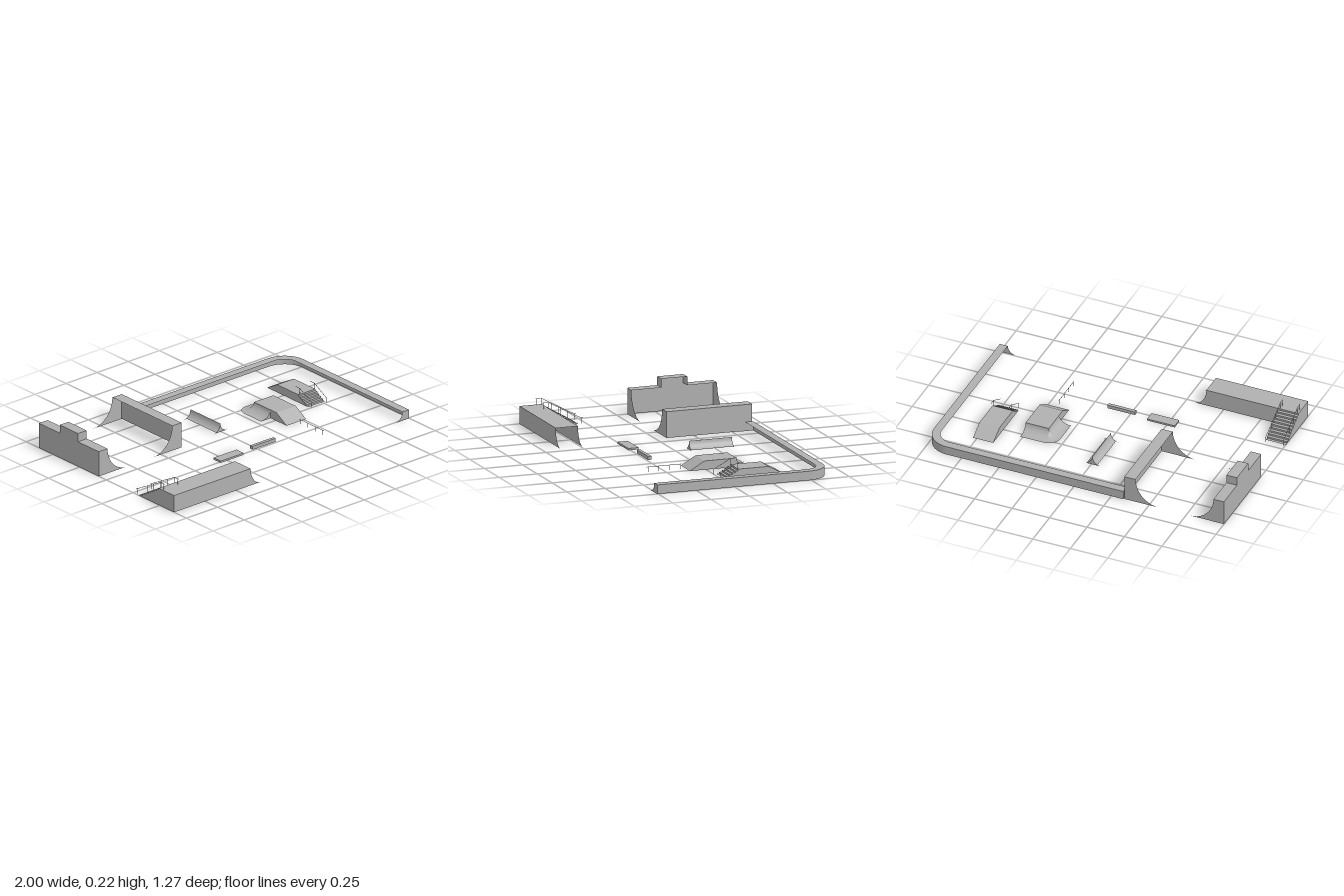
import * as THREE from 'three';

const concrete = new THREE.MeshStandardMaterial({ color: 0xb0b0b0, side: THREE.DoubleSide });
concrete.name = 'concrete grey';

const V = (x, y, z) => new THREE.Vector3(x, y, z);

// Concave transition: [distance out, height], from the lip down to the foot
function transition(w, h, n = 10, end = 1) {
  const pts = [];
  for (let i = 0; i <= n; i++) {
    const t = (i / n) * end * Math.PI / 2;
    pts.push([w * (1 - Math.cos(t)), h * (1 - Math.sin(t))]);
  }
  return pts;
}

export function createModel() {
  const park = new THREE.Group();
  park.name = 'skatepark';

  function add(name, geometry, parent = park) {
    const mesh = new THREE.Mesh(geometry, concrete);
    mesh.name = name;
    parent.add(mesh);
    return mesh;
  }
  function section(name) {
    const g = new THREE.Group();
    g.name = name;
    park.add(g);
    return g;
  }
  // Surface through a list of cross-sections
  function loft(rows, flat = false) {
    const m = rows[0].length, index = [];
    for (let i = 0; i < rows.length - 1; i++) {
      for (let j = 0; j < m - 1; j++) {
        const a = i * m + j, b = a + m;
        index.push(a, b, a + 1, b, b + 1, a + 1);
      }
    }
    let g = new THREE.BufferGeometry().setFromPoints(rows.flat());
    g.setIndex(index);
    if (flat) g = g.toNonIndexed();
    g.computeVertexNormals();
    return g;
  }
  // Flat panel in an x-y plane at z
  function panelZ(pts, z) {
    return new THREE.ShapeGeometry(new THREE.Shape(pts.map(p => new THREE.Vector2(...p)))).translate(0, 0, z);
  }
  // Flat panel in a z-y plane at x, points given as [z, y]
  function panelX(pts, x) {
    return panelZ(pts.map(([z, y]) => [-z, y]), 0).rotateY(Math.PI / 2).translate(x, 0, 0);
  }
  // Folded sheet spanning x0..x1, profile given as [z, y]
  function sheet(pts, x0, x1) {
    return loft([x0, x1].map(x => pts.map(([z, y]) => V(x, y, z))), true);
  }
  function bar(name, a, b, parent, r = 0.0015) {
    return add(name, new THREE.TubeGeometry(new THREE.LineCurve3(a, b), 1, r, 5), parent);
  }
  function box(name, x0, x1, y0, y1, z0, z1) {
    return add(name, new THREE.BoxGeometry(x1 - x0, y1 - y0, z1 - z0)
      .translate((x0 + x1) / 2, (y0 + y1) / 2, (z0 + z1) / 2));
  }

  // Two facing quarter ramps: deck, back wall and curved end panels
  const H = 0.165, zNear = -0.07, zFar = -0.63;
  function quarterRamp(name, back, lip, dir, deckLine) {
    const g = section(name);
    add('deckAndBackWall', loft([back, lip].map(x => deckLine.map(([z, y]) => V(x, y, z))), true), g);
    add('backWall', panelX([[zNear, 0], ...deckLine, [zFar, 0]], back), g);
    const side = [[back, 0], [back, H], ...transition(0.155, H).map(([d, y]) => [lip + dir * d, y])];
    for (const z of [zNear, zFar]) add('endPanel', panelZ(side, z), g);
  }
  quarterRamp('leftQuarterRamp', -1, -0.93, 1,
    [[zNear, H], [-0.265, H], [-0.265, 0.22], [-0.435, 0.22], [-0.435, H], [zFar, H]]);
  quarterRamp('middleQuarterRamp', -0.335, -0.41, -1, [[zNear, H], [zFar, H]]);

  // Start platform with a curved end and a flight of stairs
  const platform = section('startPlatform');
  const P = 0.112;
  add('deck', sheet([[0.635, P], [0.49, P]], -1, -0.385), platform);
  const front = [[-1, 0], [-1, P], ...transition(0.08, P).map(([d, y]) => [-0.385 + d, y])];
  add('frontWall', panelZ(front, 0.635), platform);
  add('rearWall', panelZ([[-0.865, 0], [-0.865, P], ...front.slice(2)], 0.49), platform);
  function stairLine(z0, z1, h, n) {
    const pts = [];
    for (let i = 0; i < n; i++) {
      const z = z0 + (z1 - z0) * i / n;
      pts.push([z, h * (1 - i / n)], [z, h * (1 - (i + 1) / n)]);
    }
    pts.push([z1, 0]);
    return pts;
  }
  const stairs = stairLine(0.49, 0.3, P, 10);
  add('stairs', sheet(stairs, -1, -0.865), platform);
  add('sideWall', panelX([[0.635, 0], [0.635, P], ...stairs], -1), platform);
  add('stairSide', panelX([[0.49, 0], ...stairs], -0.865), platform);
  for (const x of [-0.99, -0.875]) {
    const line = [[0.535, 0.15], [0.495, 0.15], [0.28, 0.035], [0.27, 0.035]];
    for (let i = 0; i < 3; i++) {
      bar('handrail', V(x, line[i][1], line[i][0]), V(x, line[i + 1][1], line[i + 1][0]), platform);
    }
    for (const [z, y0, y1] of [[0.525, P, 0.15], [0.495, P, 0.15], [0.43, 0.07, 0.115], [0.37, 0.04, 0.083], [0.28, 0, 0.035]]) {
      bar('railPost', V(x, y0, z), V(x, y1, z), platform);
    }
  }

  // Long low ramp around the back right corner
  const edge = section('longCornerRamp');
  const path = [[-0.33, -0.635, 0, -1]];
  for (let i = 0; i <= 14; i++) {
    const t = (i / 14) * Math.PI / 2;
    path.push([0.85 + 0.15 * Math.sin(t), -0.485 - 0.15 * Math.cos(t), Math.sin(t), -Math.cos(t)]);
  }
  path.push([1, 0.505, 1, 0]);
  const E = 0.057, lipWidth = 0.053;
  add('deck', loft(path.map(([x, z, nx, nz]) =>
    [V(x, E, z), V(x - nx * lipWidth, E, z - nz * lipWidth)])), edge);
  add('outerWall', loft(path.map(([x, z]) => [V(x, 0, z), V(x, E, z)])), edge);
  const curve = transition(0.06, E);
  add('rightEndPanel', panelZ([[1, 0], [1, E], ...curve.map(([d, y]) => [1 - lipWidth - d, y])], 0.505), edge);
  add('leftEndPanel', panelX([[-0.635, 0], [-0.635, E], ...curve.map(([d, y]) => [-0.635 + lipWidth + d, y])], -0.33), edge);

  // Spine: two curves back to back
  const spine = section('spineRamp');
  const cx = -0.005, spineCurve = transition(0.055, 0.055);
  for (const s of [-1, 1]) {
    const upper = transition(0.055, 0.055, 8, 0.76);
    add('spineCurve', loft([-0.37, -0.09].map(z => upper.map(([d, y]) => V(cx + s * d, y, z)))), spine);
    for (const z of [-0.37, -0.09]) {
      add('spineEnd', panelZ([[cx, 0], ...spineCurve.map(([d, y]) => [cx + s * d, y])], z), spine);
    }
  }

  // Bank with a curved flank round its back left corner
  const bank = section('curvedBank');
  const B = 0.055, x0 = 0.36, x1 = 0.515, zb = -0.2;
  add('deckAndBank', sheet([[0.105, 0], [0.01, B], [zb, B]], x0, x1), bank);
  const flank = transition(0.078, B);
  const around = [[x0, -0.045, -1, 0]];
  for (let i = 0; i <= 12; i++) {
    const t = (i / 12) * Math.PI / 2;
    around.push([x0, zb, -Math.cos(t), -Math.sin(t)]);
  }
  around.push([x1, zb, 0, -1]);
  add('curvedFlank', loft(around.map(([x, z, nx, nz]) => flank.map(([d, y]) => V(x + nx * d, y, z + nz * d)))), bank);
  add('rightSide', panelX([[0.105, 0], [0.01, B], ...flank.map(([d, y]) => [zb - d, y])], x1), bank);
  add('leftSide', panelX([[0.105, 0], [0.01, B], [-0.045, B], [-0.045, 0]], x0), bank);
  add('flankEnd', panelZ([[x0, 0], ...flank.map(([d, y]) => [x0 - d, y])], -0.045), bank);

  // Stair set with a bank behind it and two handrails
  const set = section('stairSet');
  const line = [[-0.405, 0], [-0.31, 0.052], ...stairLine(-0.11, -0.02, 0.052, 5)];
  add('bankAndStairs', sheet(line, 0.64, 0.775), set);
  for (const x of [0.64, 0.775]) add('sidePanel', panelX(line, x), set);
  for (const x of [0.65, 0.768]) {
    bar('handrailTop', V(x, 0.092, -0.15), V(x, 0.092, -0.11), set);
    bar('handrailSlope', V(x, 0.092, -0.11), V(x, 0.034, 0), set);
    bar('railPost', V(x, 0.052, -0.11), V(x, 0.092, -0.11), set);
    bar('railPost', V(x, 0, 0), V(x, 0.034, 0), set);
  }

  // Grind rail
  const rail = section('grindRail');
  bar('railTop', V(0.44, 0.03, 0.13), V(0.44, 0.03, 0.36), rail);
  for (const z of [0.14, 0.21, 0.28, 0.35]) bar('railPost', V(0.44, 0, z), V(0.44, 0.03, z), rail);

  // Low boxes
  box('manualPad', -0.305, -0.12, 0, 0.012, 0.195, 0.262);
  box('grindBox', -0.03, 0.155, 0, 0.022, 0.218, 0.24);

  return park;
}
